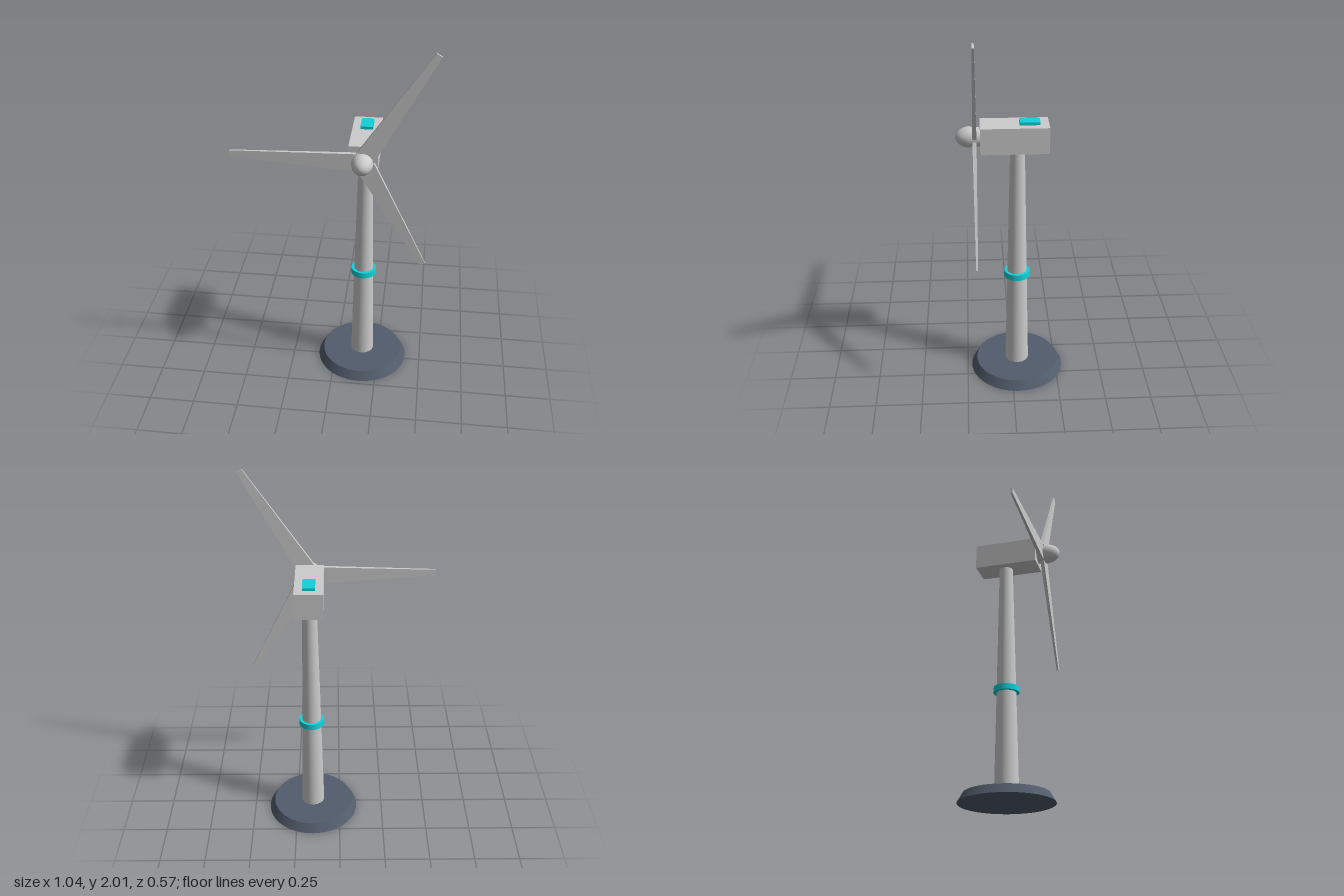
import * as THREE from 'three';

const X = 0.156, Z = -0.031;   // tower axis
const HUB_Y = 1.42;            // rotor axis height
const BLADE_Z = 0.188;         // rotor plane

const paint = (color) => new THREE.MeshStandardMaterial({ color });

function add(parent, name, geometry, material, x = 0, y = 0, z = 0) {
  const mesh = new THREE.Mesh(geometry, material);
  mesh.name = name;
  mesh.position.set(x, y, z);
  parent.add(mesh);
  return mesh;
}

// Tapered blade along +x: a box whose two ends get their own edges and thickness
function bladeGeometry() {
  const root = { x: 0.035, lead: -0.047, trail: 0.05, half: 0.0105 };
  const tip = { x: 0.675, lead: -0.028, trail: 0.004, half: 0.005 };
  const geometry = new THREE.BoxGeometry(1, 1, 1);
  const p = geometry.attributes.position;
  for (let i = 0; i < p.count; i++) {
    const end = p.getX(i) < 0 ? root : tip;
    p.setXYZ(i, end.x, p.getY(i) < 0 ? end.lead : end.trail, Math.sign(p.getZ(i)) * end.half);
  }
  geometry.computeVertexNormals();
  return geometry;
}

export function createModel() {
  const model = new THREE.Group();
  model.name = 'windTurbine';
  const grey = paint(0xcccccc), slate = paint(0x525c6b), cyan = paint(0x10d2da);

  // Base, tower and band
  add(model, 'base', new THREE.CylinderGeometry(0.228, 0.257, 0.05, 48), slate, X, 0.025, Z);
  add(model, 'tower', new THREE.CylinderGeometry(0.038, 0.065, 1.3, 48), grey, X, 0.7, Z);
  add(model, 'towerBand', new THREE.CylinderGeometry(0.069, 0.071, 0.032, 48), cyan, X, 0.615, Z);

  // Nacelle with roof hatch
  add(model, 'nacelle', new THREE.BoxGeometry(0.15, 0.14, 0.35), grey, X, HUB_Y, -0.015);
  add(model, 'roofHatch', new THREE.BoxGeometry(0.066, 0.02, 0.105), cyan, X, 1.495, -0.092);

  // Rotor: hub, domed nose and three blades
  const rotor = new THREE.Group();
  rotor.name = 'rotor';
  rotor.position.set(X, HUB_Y, BLADE_Z);
  model.add(rotor);

  const hub = add(rotor, 'hub', new THREE.CylinderGeometry(0.05, 0.05, 0.05, 40), grey, 0, 0, -0.004);
  hub.rotation.x = Math.PI / 2;

  const profile = [new THREE.Vector2(0, 0)];
  for (let i = 0; i <= 16; i++) {
    const a = (i / 16) * Math.PI / 2;
    profile.push(new THREE.Vector2(i === 16 ? 0 : 0.055 * Math.cos(a), 0.08 * Math.sin(a)));
  }
  // Dome only, closed behind by a disc
  const nose = add(rotor, 'nose', new THREE.LatheGeometry(profile.slice(1), 40), grey, 0, 0, 0.017);
  nose.rotation.x = Math.PI / 2;
  const back = add(rotor, 'noseBack', new THREE.CircleGeometry(0.055, 40), grey, 0, 0, 0.017);
  back.rotation.y = Math.PI;

  const blade = bladeGeometry();
  for (let i = 0; i < 3; i++) {
    add(rotor, `blade${i + 1}`, blade, grey).rotation.z = Math.PI / 3 + (i * Math.PI * 2) / 3;
  }
  return model;
}
